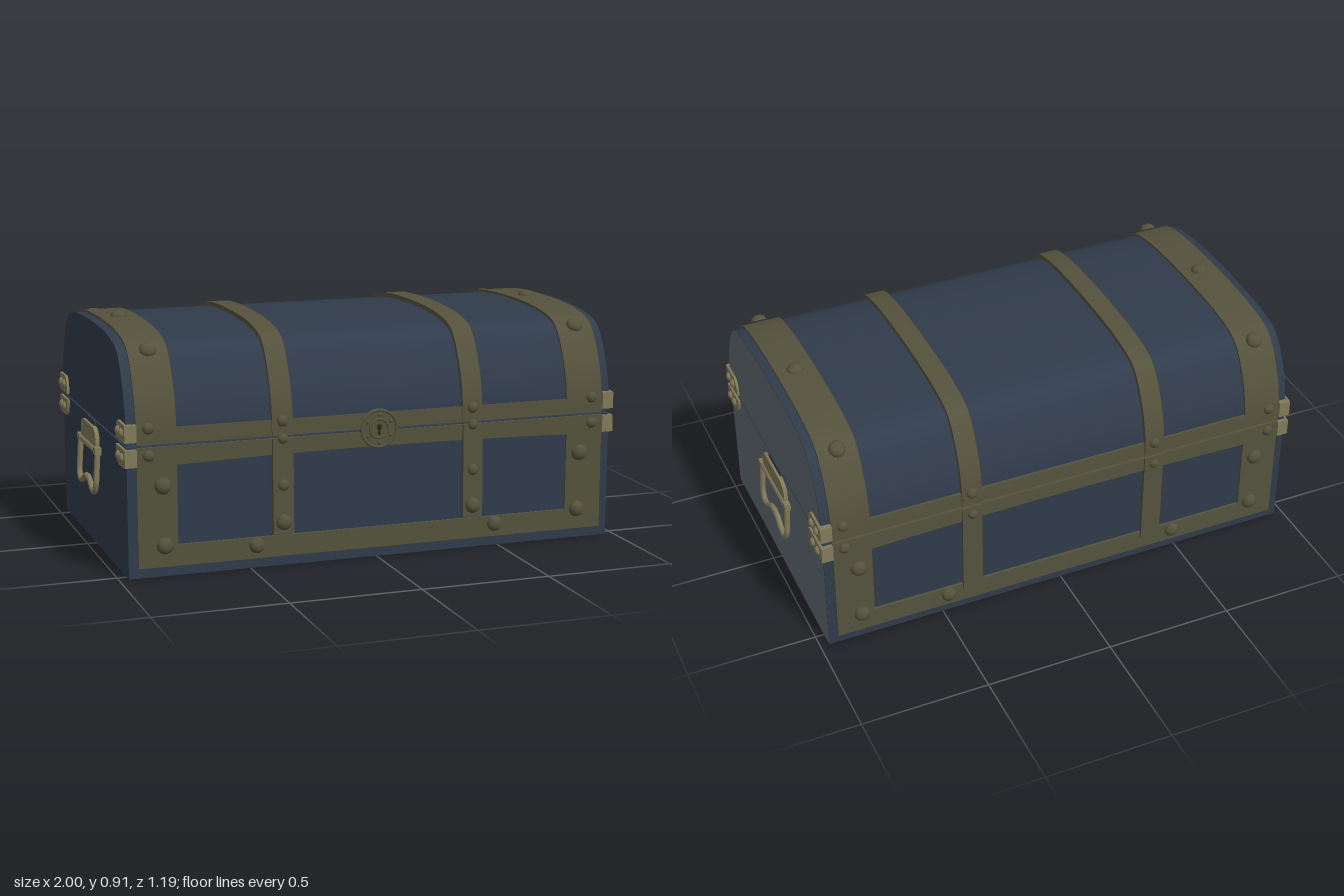
import * as THREE from 'three';
import { toCreasedNormals } from 'three/addons/utils/BufferGeometryUtils.js';

const mat = (name, color) => {
  const m = new THREE.MeshStandardMaterial({ color });
  m.name = name;
  return m;
};

export function createModel() {
  const root = new THREE.Group();
  root.name = 'chest';
  const navy = mat('navy leather', 0x303b4b);
  const grey = mat('grey end panel', 0x626a71);
  const strapMat = mat('dull brass strap', 0x54523c);
  const brass = mat('bright brass', 0x817a5a);
  const dark = mat('dark base', 0x2a2814);

  const add = (name, geo, material, parent = root) => {
    const m = new THREE.Mesh(geo, material);
    m.name = name;
    parent.add(m);
    return m;
  };

  const W = 0.965, CZ = -0.01, SEAM = 0.495;
  const V = (z, y) => new THREE.Vector2(z, y);

  // Lid cross-section (z, y), front to back
  const half = [[0.55, 0.5], [0.545, 0.58], [0.528, 0.656], [0.503, 0.72], [0.463, 0.79],
    [0.408, 0.838], [0.287, 0.864], [0.15, 0.874]];
  const knots = [
    ...half.map(([w, y]) => V(CZ + w, y)), V(CZ, 0.877),
    ...half.slice().reverse().map(([w, y]) => V(CZ - w, y)),
  ];
  const dome = new THREE.SplineCurve(knots).getPoints(64);

  // Cross-sections are drawn in (z, y) and run along x
  const section = pts => new THREE.Shape(pts.map(p => V(-p.x, p.y)));
  const alongX = (pts, x0, x1) => {
    const g = new THREE.ExtrudeGeometry(section(pts), { depth: x1 - x0, bevelEnabled: false });
    g.rotateY(Math.PI / 2).translate(x0, 0, 0);
    return toCreasedNormals(g, 0.6);
  };

  // Box and lid with a fine gap between them
  const boxPts = [V(0.54, 0.002), V(0.54, SEAM - 0.002), V(-0.56, SEAM - 0.002), V(-0.56, 0.002)];
  add('box', alongX(boxPts, -W, W), navy);
  add('lid', alongX(dome, -W, W), navy);
  for (const [name, pts] of [['boxEndPanel', boxPts], ['lidEndPanel', dome]]) {
    const g = new THREE.ShapeGeometry(section(pts));
    g.rotateY(Math.PI / 2).translate(W + 0.001, 0, 0);
    add(name, g, grey);
  }
  const base = new THREE.PlaneGeometry(2 * W, 1.1).rotateX(Math.PI / 2).translate(0, 0, CZ);
  add('base', base, dark);

  // A strap of thickness t follows a path of (z, y) points
  const strap = (name, path, x0, x1, t) => {
    const outer = path.map((p, i) => {
      const a = path[Math.max(i - 1, 0)], b = path[Math.min(i + 1, path.length - 1)];
      const d = b.clone().sub(a).normalize();
      return V(p.x + d.y * t, p.y - d.x * t);
    });
    add(name, alongX([...path, ...outer.reverse()], x0, x1), strapMat);
  };
  const low = dome.filter(p => p.y <= 0.578);
  const frontLow = low.filter(p => p.x > 0), backLow = low.filter(p => p.x < 0);

  for (const s of [-1, 1]) {
    const span = (a, b) => (s > 0 ? [a, b] : [-b, -a]);
    const end = span(0.78, 0.93), inner = span(0.34, 0.42);
    strap('lidEndStrap', dome, ...end, 0.01);
    strap('lidInnerStrap', dome, ...inner, 0.018);
    strap('frontEndStrap', [V(0.54, 0.04), V(0.54, 0.49)], ...end, 0.01);
    strap('backEndStrap', [V(-0.56, 0.49), V(-0.56, 0.04)], ...end, 0.01);
    strap('frontInnerStrap', [V(0.55, 0.13), V(0.543, 0.49)], ...inner, 0.02);
    strap('backInnerStrap', [V(-0.56, 0.49), V(-0.56, 0.1)], ...inner, 0.018);
  }
  strap('frontLidBand', frontLow, -0.93, 0.93, 0.012);
  strap('backLidBand', backLow, -0.93, 0.93, 0.012);
  strap('frontBottomBand', [V(0.54, 0.04), V(0.54, 0.12)], -0.93, 0.93, 0.011);
  strap('backBottomBand', [V(-0.56, 0.12), V(-0.56, 0.04)], -0.93, 0.93, 0.011);

  // Bands below the seam, with a gently arched lower edge
  const arch = new THREE.Shape();
  arch.moveTo(-0.93, 0.415);
  arch.quadraticCurveTo(0, 0.45, 0.93, 0.415);
  arch.lineTo(0.93, 0.49);
  arch.lineTo(-0.93, 0.49);
  for (const z of [0.54, -0.572]) {
    const g = new THREE.ExtrudeGeometry(arch, { depth: 0.012, bevelEnabled: false }).translate(0, 0, z);
    add('seamBand', g, strapMat);
  }

  // Domed rivets
  const up = new THREE.Vector3(0, 1, 0);
  const rivetGeo = new THREE.SphereGeometry(1, 14, 6, 0, Math.PI * 2, 0, Math.PI / 2);
  const rivet = (x, y, z, n, r, material = strapMat) => {
    const m = add('rivet', rivetGeo, material);
    m.position.set(x, y, z);
    m.scale.set(r, r * 0.75, r);
    m.quaternion.setFromUnitVectors(up, new THREE.Vector3(...n).normalize());
  };
  for (const s of [-1, 1]) {
    for (const f of [1, -1]) {
      const face = f > 0 ? 0.551 : -0.571, n = [0, 0, f];
      rivet(s * 0.885, 0.56, CZ + f * 0.557, n, 0.022);
      rivet(s * 0.885, 0.46, face, n, 0.022);
      rivet(s * 0.835, 0.345, face, n, 0.032);
      rivet(s * 0.83, 0.12, face, n, 0.032);
      rivet(s * 0.48, 0.09, face, n, 0.03);
      rivet(s * 0.38, 0.555, CZ + f * 0.564, n, 0.022);
      rivet(s * 0.38, 0.46 + (f > 0 ? 0.03 : 0), face + f * 0.01, n, 0.02);
      rivet(s * 0.855, 0.828, CZ + f * 0.45, [0, 0.8, f * 0.6], 0.032);
    }
    rivet(s * 0.38, 0.315, 0.565, [0, 0, 1], 0.022);
    rivet(s * 0.38, 0.175, 0.568, [0, 0, 1], 0.031);
    rivet(s * 0.855, 0.885, CZ, [0, 1, 0], 0.032);
  }

  // Round lock plate with rim, bosses and keyhole
  const lock = new THREE.Group();
  lock.name = 'lock';
  lock.position.set(0, 0.5, 0.551);
  root.add(lock);
  add('lockPlate', new THREE.CylinderGeometry(0.07, 0.075, 0.012, 32).rotateX(Math.PI / 2), strapMat, lock);
  for (const r of [0.07, 0.036]) {
    add('lockRim', new THREE.TorusGeometry(r, 0.005, 8, 32).translate(0, 0, 0.006), strapMat, lock);
  }
  for (let i = 0; i < 6; i++) {
    const a = (i + 0.5) * Math.PI / 3;
    const g = new THREE.SphereGeometry(0.008, 10, 8);
    add('lockBoss', g.translate(0.053 * Math.cos(a), 0.053 * Math.sin(a), 0.005), strapMat, lock);
  }
  add('keyhole', new THREE.CircleGeometry(0.011, 16).translate(0, 0.006, 0.008), dark, lock);
  add('keyholeSlot', new THREE.PlaneGeometry(0.01, 0.03).translate(0, -0.01, 0.008), dark, lock);

  // Corner plates on the ends, lobed towards the middle
  const plate = new THREE.Shape();
  plate.moveTo(0, -0.034);
  plate.lineTo(0.085, -0.036);
  plate.quadraticCurveTo(0.12, -0.03, 0.122, 0.034);
  plate.lineTo(0, 0.034);
  const cornerGeo = new THREE.ExtrudeGeometry(plate, { depth: 0.01, bevelEnabled: false, curveSegments: 8 });
  for (const s of [-1, 1]) for (const f of [1, -1]) for (const v of [1, -1]) {
    const y = v > 0 ? 0.545 : 0.453;
    const m = add('cornerPlate', cornerGeo, brass);
    // Turn so the plate runs inwards and its lobe points away from the seam
    const spin = new THREE.Matrix4().makeBasis(
      new THREE.Vector3(0, 0, -f), new THREE.Vector3(0, -v, 0), new THREE.Vector3(-f * v, 0, 0));
    m.quaternion.setFromRotationMatrix(spin);
    m.position.set(s * (W + 0.005) + f * v * 0.005, y, CZ + f * 0.55);
    for (const w of [0.527, 0.475]) rivet(s * (W + 0.01), y, CZ + f * w, [s, 0, 0], 0.018, brass);
    const wrap = new THREE.BoxGeometry(0.045, 0.065, 0.022);
    add('cornerWrap', wrap.translate(s * (W - 0.0125), y, CZ + f * 0.556), brass);
  }

  // End handles: mounting plate, hinge bar and a dipped bail
  const HZ = -0.03;
  const mount = [V(HZ + 0.13, 0.4), V(HZ + 0.13, 0.44), V(HZ + 0.118, 0.462), V(HZ + 0.09, 0.474),
    V(HZ - 0.09, 0.474), V(HZ - 0.118, 0.462), V(HZ - 0.13, 0.44), V(HZ - 0.13, 0.4)];
  const bailHalf = [[0.148, 0.395], [0.148, 0.32], [0.146, 0.26], [0.125, 0.229], [0.085, 0.231], [0.04, 0.256]];
  for (const s of [-1, 1]) {
    const h = new THREE.Group();
    h.name = 'handle';
    root.add(h);
    const x0 = s > 0 ? W : -W - 0.016;
    add('handlePlate', alongX(mount, x0, x0 + 0.016), brass, h);
    add('handleTab', new THREE.BoxGeometry(0.008, 0.025, 0.14).translate(s * (W + 0.002), 0.482, HZ + 0.005), navy, h);
    const bar = new THREE.CylinderGeometry(0.014, 0.014, 0.26, 12).rotateX(Math.PI / 2);
    add('hingeBar', bar.translate(s * 0.977, 0.39, HZ), brass, h);
    const at = (w, y) => new THREE.Vector3(s * (0.977 + (0.4 - y) * 0.065), y, HZ + w);
    const pts = [...bailHalf.map(([w, y]) => at(w, y)), at(0, 0.264),
      ...bailHalf.slice().reverse().map(([w, y]) => at(-w, y))];
    add('bail', new THREE.TubeGeometry(new THREE.CatmullRomCurve3(pts), 60, 0.0115, 8), brass, h);
    for (const f of [-1, 1]) {
      add('bailEye', new THREE.BoxGeometry(0.026, 0.028, 0.034).translate(s * 0.977, 0.392, HZ + f * 0.143), brass, h);
    }
  }
  return root;
}
